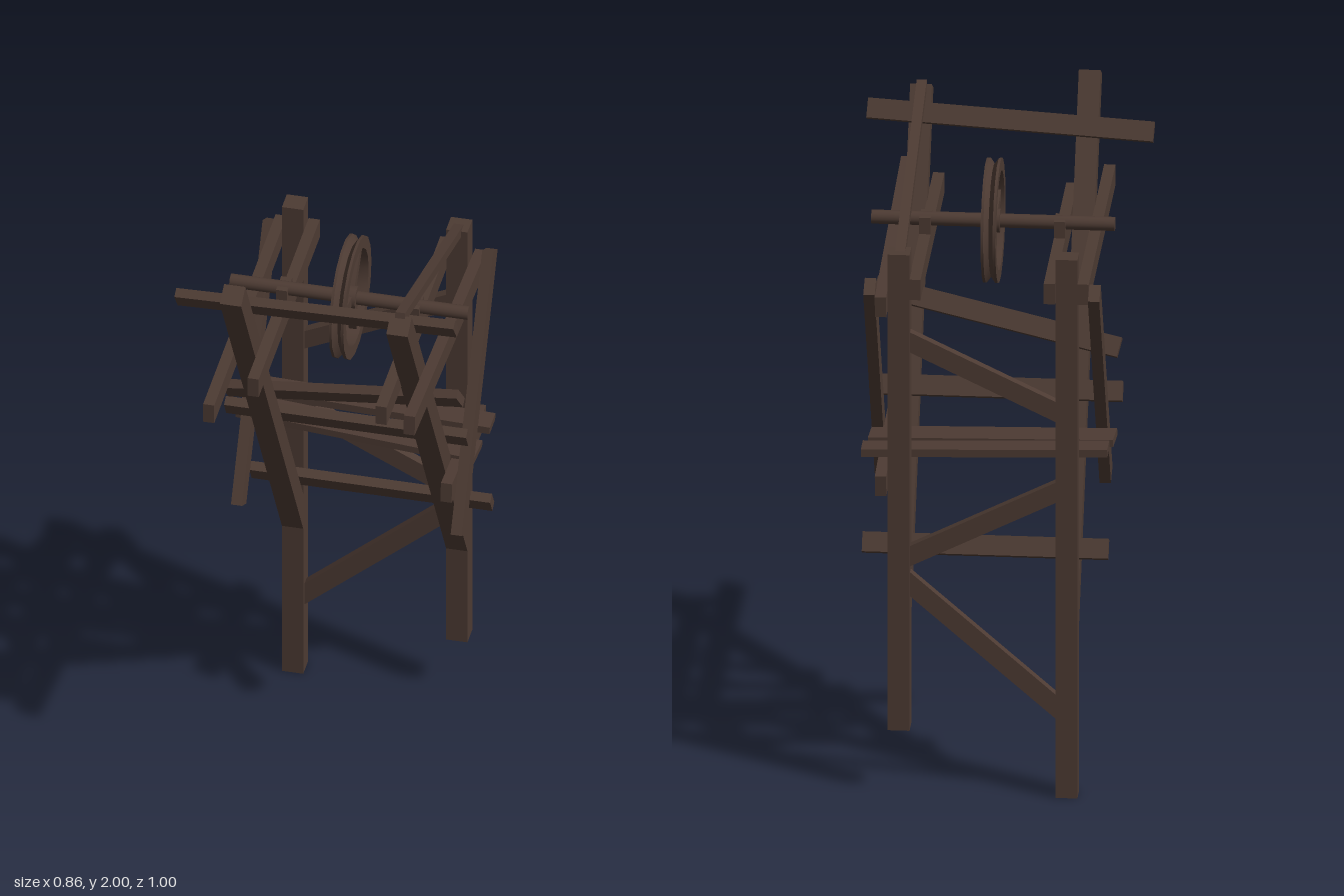
import * as THREE from 'three';
import { toCreasedNormals } from 'three/addons/utils/BufferGeometryUtils.js';

export function createModel() {
  const model = new THREE.Group();
  model.name = 'timberHoistFrame';
  const wood = new THREE.MeshStandardMaterial({ color: 0x4d3b33 });
  wood.name = 'darkWood';

  const add = (name, geometry, parent = model) => {
    const mesh = new THREE.Mesh(geometry, wood);
    mesh.name = name;
    parent.add(mesh);
    return mesh;
  };

  // Timber from a to b; "thick" is measured along the given normal, "wide" across it
  const beam = (name, a, b, wide, thick, normal) => {
    const A = new THREE.Vector3(...a), B = new THREE.Vector3(...b);
    const d = B.clone().sub(A), length = d.length();
    d.normalize();
    const side = d.clone().cross(new THREE.Vector3(...normal)).normalize();
    const n = side.clone().cross(d);
    const mesh = add(name, new THREE.BoxGeometry(length, wide, thick));
    // d, n and side form a frame whose handedness is (d, -side, n)
    mesh.quaternion.setFromRotationMatrix(new THREE.Matrix4().makeBasis(d, side.negate(), n));
    mesh.position.copy(A).add(B).multiplyScalar(0.5);
    return mesh;
  };

  const X = [1, 0, 0], Y = [0, 1, 0], Z = [0, 0, 1];
  const T = 0.065, thin = 0.034;
  const xl = -0.23, xr = 0.27;

  // Back posts, the left one standing on higher ground
  beam('rightPost', [xl, 0, -0.43], [xl, 1.72, -0.43], T, T, X);
  beam('leftPost', [xr, 0.2, -0.43], [xr, 1.72, -0.43], T, T, X);

  // Leaning front timbers
  const leanZ = (y) => 0.4 - (1.98 - y) * 0.579;
  beam('rightLeaningTimber', [xl, 0.55, leanZ(0.55)], [xl, 1.98, leanZ(1.98)], T, T, X);
  beam('leftLeaningTimber', [xr, 0.55, leanZ(0.55)], [xr, 1.93, leanZ(1.93)], T, T, X);

  // Cross boards nailed under the leaning timbers: x0, y0, x1, y1
  const leanNormal = [0, 0.501, -0.865];
  [
    [-0.43, 1.845, 0.425, 1.885],
    [-0.355, 1.283, 0.378, 1.425],
    [-0.37, 1.17, 0.367, 1.17],
    [-0.347, 0.759, 0.386, 0.759],
  ].forEach(([x0, y0, x1, y1]) =>
    beam('crossBoard', [x0, y0, leanZ(y0) - 0.055], [x1, y1, leanZ(y1) - 0.055], 0.06, 0.03, leanNormal));

  // Diagonal braces between the posts
  [[0.255, 0.69], [0.985, 0.735], [1.21, 1.45]].forEach(([y0, y1]) =>
    beam('postBrace', [-0.23, y0, -0.43], [0.27, y1, -0.43], 0.058, 0.03, Z));

  // Rails carrying the axle, in pairs on both sides of the posts
  beam('rightOuterRail', [-0.279, 1.61, -0.46], [-0.279, 1.61, 0.505], T, thin, X);
  beam('rightInnerRail', [-0.179, 1.61, -0.463], [-0.179, 1.61, 0.35], T, thin, X);
  beam('leftInnerRail', [0.222, 1.61, -0.463], [0.222, 1.61, 0.4], T, thin, X);
  beam('leftOuterRail', [0.322, 1.561, -0.487], [0.322, 1.635, 0.462], T, thin, X);
  beam('leftLowerRail', [0.322, 0.988, -0.485], [0.322, 1.026, -0.03], T, thin, X);

  // Slanted side braces
  for (const x of [-0.313, 0.356]) {
    beam('sideBrace', [x, 1.617, -0.463], [x, 0.87, -0.042], T, thin, X);
  }

  // Tie from the left timber's top to the post
  beam('topTie', [0.268, 1.945, 0.35], [0.268, 1.705, -0.43], 0.03, 0.03, X);

  // Loose platform planks
  beam('frontPlank', [-0.358, 1.075, -0.256], [0.375, 1.045, -0.22], 0.097, 0.022, Y);
  beam('backPlank', [-0.346, 1.078, -0.357], [0.388, 1.055, -0.357], 0.075, 0.024, Y);

  // Axle and its bearing blocks
  const axleY = 1.68, axleZ = -0.062;
  const axle = add('axle', new THREE.CylinderGeometry(0.021, 0.021, 0.725, 16));
  axle.rotation.z = Math.PI / 2;
  axle.position.set(0.021, axleY, axleZ);
  for (const x of [-0.179, 0.222]) {
    add('bearingBlock', new THREE.BoxGeometry(thin, 0.055, 0.07)).position.set(x, 1.667, axleZ);
  }

  // Grooved pulley wheel with three spokes
  const wheel = new THREE.Group();
  wheel.name = 'pulleyWheel';
  wheel.position.set(0.022, axleY, axleZ);
  model.add(wheel);
  const profile = [[0.15, -0.022], [0.188, -0.022], [0.188, -0.014], [0.168, 0],
    [0.188, 0.014], [0.188, 0.022], [0.15, 0.022], [0.15, -0.022]]
    .map(([r, h]) => new THREE.Vector2(r, h));
  const rim = add('wheelRim', toCreasedNormals(new THREE.LatheGeometry(profile, 18), 0.5), wheel);
  rim.rotation.z = Math.PI / 2;
  const hub = add('wheelHub', new THREE.CylinderGeometry(0.036, 0.036, 0.044, 14), wheel);
  hub.rotation.z = Math.PI / 2;
  for (let i = 0; i < 3; i++) {
    const angle = -0.7 + (i * Math.PI * 2) / 3;
    const spoke = add('wheelSpoke', new THREE.BoxGeometry(0.024, 0.14, 0.032), wheel);
    spoke.rotation.x = angle;
    spoke.position.set(0, Math.cos(angle) * 0.09, Math.sin(angle) * 0.09);
  }
  return model;
}
